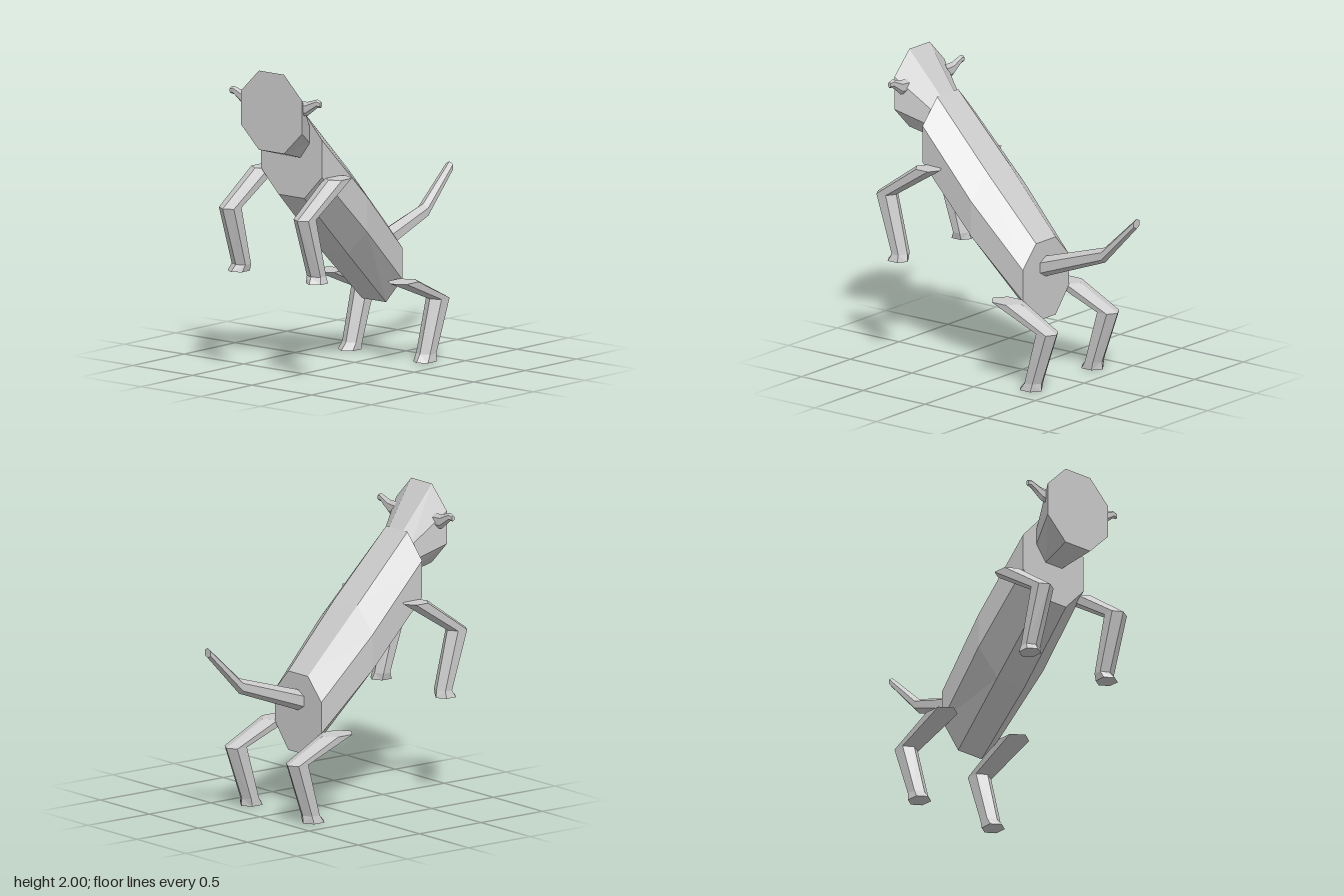
import * as THREE from 'three';

// Skin a list of equal-length rings of [x, y, z], with flat caps on both ends.
function loft(rings) {
  const tris = [];
  const n = rings[0].length;
  for (let i = 0; i < rings.length - 1; i++) {
    for (let j = 0; j < n; j++) {
      const k = (j + 1) % n;
      const a = rings[i][j], b = rings[i][k], c = rings[i + 1][k], d = rings[i + 1][j];
      tris.push([a, b, c], [a, c, d]);
    }
  }
  const first = rings[0], last = rings[rings.length - 1];
  for (let j = 1; j < n - 1; j++) {
    tris.push([first[0], first[j + 1], first[j]], [last[0], last[j], last[j + 1]]);
  }
  // Turn the faces outward if the signed volume is negative
  const [u, v, w] = [0, 1, 2].map(() => new THREE.Vector3());
  let volume = 0;
  for (const [a, b, c] of tris) {
    volume += u.fromArray(a).dot(v.fromArray(b).cross(w.fromArray(c)));
  }
  if (volume < 0) tris.forEach((t) => t.reverse());
  const geometry = new THREE.BufferGeometry();
  geometry.setAttribute('position', new THREE.Float32BufferAttribute(tris.flat(2), 3));
  geometry.computeVertexNormals();
  return geometry;
}

// Upright octagon: flat top and bottom of half width e, sides of half width w
const octagon = ({ z, x = 0, w, e, top, high, low, bottom }) => [
  [x - e, top, z], [x + e, top, z], [x + w, high, z], [x + w, low, z],
  [x + e, bottom, z], [x - e, bottom, z], [x - w, low, z], [x - w, high, z],
];

// Hexagon as [across, along] pairs, with its points on the "along" axis
const hexagon = (a, b) => [[0, b], [a, b / 2], [a, -b / 2], [0, -b], [-a, -b / 2], [-a, b / 2]];

export function createModel() {
  const model = new THREE.Group();
  const grey = new THREE.MeshStandardMaterial({ color: 0xcccccc, flatShading: true });
  grey.name = 'light grey';

  const add = (name, rings) => {
    const mesh = new THREE.Mesh(loft(rings), grey);
    mesh.name = name;
    model.add(mesh);
  };

  // Body, sloping up to the shoulders
  add('body', [
    { z: 0.61, x: -0.005, w: 0.257, e: 0.108, top: 1.72, high: 1.56, low: 1.32, bottom: 1.165 },
    { z: 0.2, w: 0.275, e: 0.115, top: 1.3, high: 1.14, low: 0.91, bottom: 0.745 },
    { z: -0.19, w: 0.237, e: 0.1, top: 0.89, high: 0.745, low: 0.54, bottom: 0.375 },
  ].map(octagon));

  // Head, flaring to a flat face
  add('head', [
    { z: 0.61, w: 0.148, e: 0.07, top: 1.72, high: 1.635, low: 1.53, bottom: 1.425 },
    { z: 0.825, x: 0.012, w: 0.257, e: 0.105, top: 2, high: 1.85, low: 1.635, bottom: 1.487 },
  ].map(octagon));

  // Tail: [z, y, half width, half height]
  add('tail', [
    [-0.17, 0.713, 0.06, 0.068],
    [-0.67, 0.88, 0.041, 0.05],
    [-0.925, 1.133, 0.03, 0.033],
  ].map(([z, y, a, b]) => hexagon(a, b).map(([dx, dy]) => [dx, y + dy, z])));

  // Leg sections: [y, x, z, half width, half depth]
  const frontLeg = [
    [1.31, 0.308, 0.517, 0.072, 0.095],
    [1.09, 0.313, 0.849, 0.063, 0.074],
    [0.71, 0.315, 0.738, 0.058, 0.054],
    [0.665, 0.328, 0.748, 0.06, 0.077],
  ];
  const rearLeg = [
    [0.545, 0.306, -0.115, 0.082, 0.115],
    [0.395, 0.313, -0.447, 0.065, 0.078],
    [0.05, 0.31, -0.338, 0.058, 0.062],
    [0, 0.315, -0.318, 0.062, 0.083],
  ];
  // Ear sections: [x, y, half height, half depth]
  const ear = [
    [0.2, 1.785, 0.05, 0.02],
    [0.27, 1.79, 0.046, 0.018],
    [0.355, 1.835, 0.027, 0.014],
    [0.385, 1.832, 0.02, 0.01],
  ];

  for (const [side, s] of [['left', 1], ['right', -1]]) {
    for (const [part, sections] of [['FrontLeg', frontLeg], ['RearLeg', rearLeg]]) {
      add(side + part, sections.map(([y, x, z, a, b]) =>
        hexagon(a, b).map(([dx, dz]) => [s * (x + dx), y, z + dz])));
    }
    add(side + 'Ear', ear.map(([x, y, h, d]) =>
      hexagon(d, h).map(([dz, dy]) => [s * (x - (s < 0 ? 0.012 : 0)), y + dy, 0.774 + dz])));
  }
  return model;
}
